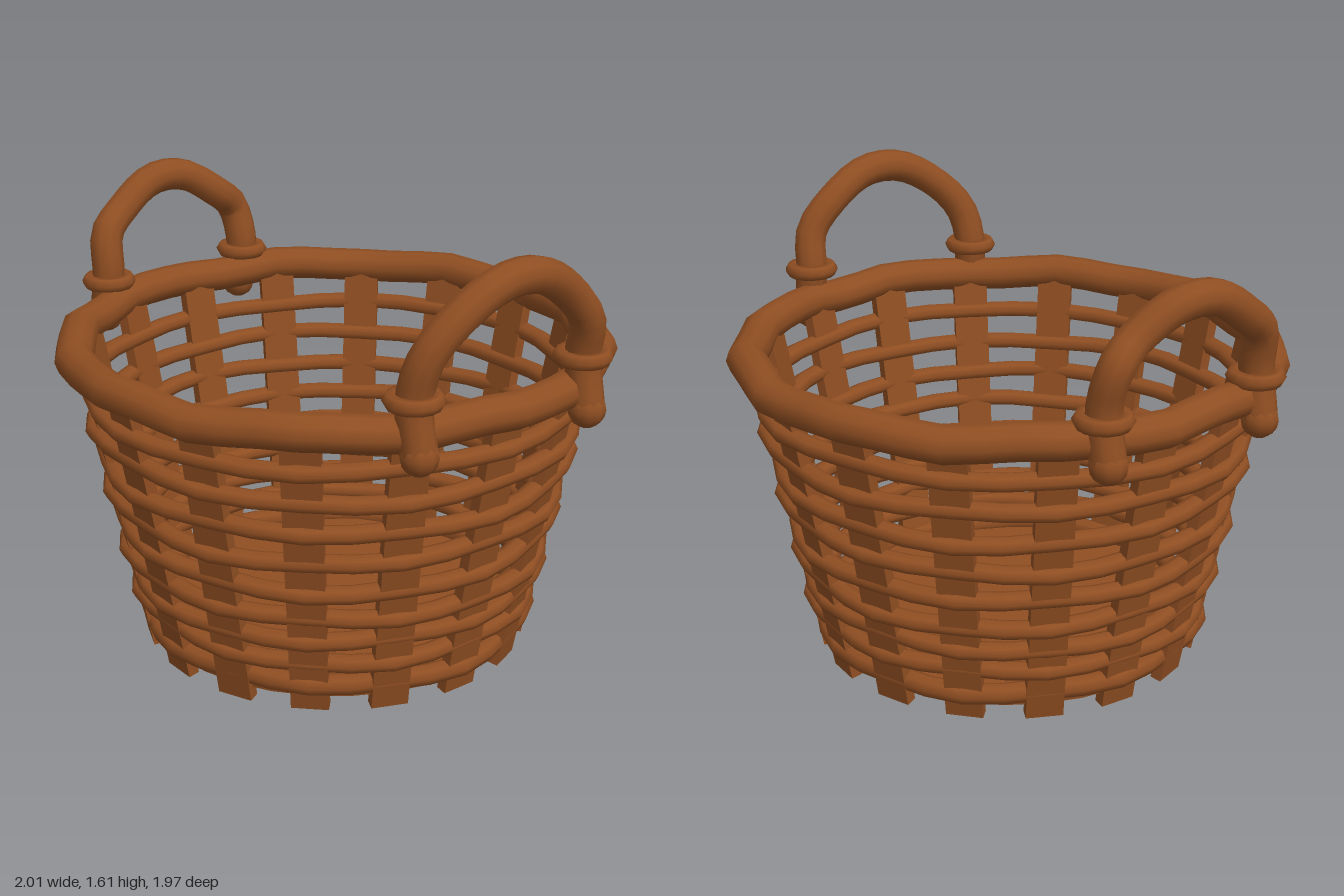
import * as THREE from 'three';

const wicker = new THREE.MeshStandardMaterial({ color: 0x8f4e22 });
wicker.name = 'brownWicker';

const STAKES = 16;

// Closed ring swept from a cross-section, with a radius and height offset at each angle
function sweptRing(name, radiusAt, heightAt, section, segments) {
  const positions = [], index = [], n = section.length;
  for (let i = 0; i < segments; i++) {
    const a = (i / segments) * Math.PI * 2;
    for (const [dr, dy] of section) {
      const r = radiusAt(a) + dr;
      positions.push(r * Math.sin(a), heightAt(a) + dy, r * Math.cos(a));
    }
  }
  for (let i = 0; i < segments; i++) {
    const k = (i + 1) % segments;
    for (let j = 0; j < n; j++) {
      const l = (j + 1) % n;
      index.push(i * n + j, k * n + j, i * n + l, k * n + j, k * n + l, i * n + l);
    }
  }
  const geometry = new THREE.BufferGeometry();
  geometry.setAttribute('position', new THREE.Float32BufferAttribute(positions, 3));
  geometry.setIndex(index);
  geometry.computeVertexNormals();
  const mesh = new THREE.Mesh(geometry, wicker);
  mesh.name = name;
  return mesh;
}

// Oval cross-section, counterclockwise in radius and height
function oval(rx, ry, count) {
  return Array.from({ length: count }, (_, i) => {
    const a = (i / count) * Math.PI * 2;
    return [rx * Math.cos(a), ry * Math.sin(a)];
  });
}

// Arched handle: two legs outside the rim, each bound by a collar
function handle(name, side, front, back, top, collarY) {
  const group = new THREE.Group();
  group.name = name;
  const [fx, fz] = front, [bx, bz] = back;
  const mid = (fz + bz) / 2, half = (fz - bz) / 2;
  const points = [
    [fx + 0.03, 1.03, fz], [fx, 1.2, fz], [fx + 0.03, 1.34, mid + half * 0.94],
    [0.92, top - 0.09, mid + half * 0.68], [0.94, top, mid + half * 0.22],
    [0.94, top, mid - half * 0.22], [0.92, top - 0.09, mid - half * 0.68],
    [bx + 0.03, 1.34, mid - half * 0.94], [bx, 1.2, bz], [bx + 0.03, 1.03, bz],
  ].map(([x, y, z]) => new THREE.Vector3(x * side, y, z));
  const arch = new THREE.Mesh(
    new THREE.TubeGeometry(new THREE.CatmullRomCurve3(points), 28, 0.06, 10), wicker);
  arch.name = 'handleArch';
  group.add(arch);
  for (const end of [points[0], points[points.length - 1]]) {
    const tip = new THREE.Mesh(new THREE.SphereGeometry(0.064, 10, 8), wicker);
    tip.name = 'handleTip';
    tip.position.copy(end);
    group.add(tip);
  }
  for (const [x, z] of [front, back]) {
    const collar = new THREE.Mesh(new THREE.TorusGeometry(0.073, 0.027, 6, 14), wicker);
    collar.name = 'handleCollar';
    collar.rotation.x = Math.PI / 2;
    collar.position.set(x * side, collarY, z);
    group.add(collar);
  }
  return group;
}

export function createModel() {
  const basket = new THREE.Group();
  basket.name = 'basket';

  // Floor
  const floor = new THREE.Mesh(new THREE.CylinderGeometry(0.695, 0.69, 0.03, 32), wicker);
  floor.name = 'floor';
  floor.position.y = 0.065;
  basket.add(floor);

  // Upright stakes leaning outward
  const lean = Math.atan(0.19);
  const stakeGeometry = new THREE.BoxGeometry(0.13, 1.13, 0.04);
  for (let i = 0; i < STAKES; i++) {
    const a = (i / STAKES) * Math.PI * 2;
    const stake = new THREE.Mesh(stakeGeometry, wicker);
    stake.name = 'stake';
    const r = 0.675 + 0.19 * 0.56;
    stake.position.set(r * Math.sin(a), 0.56, r * Math.cos(a));
    stake.rotation.set(lean, a, 0, 'YXZ');
    basket.add(stake);
  }

  // Horizontal woven bands, their waves alternating from row to row
  const bandHeights = [0.095, 0.19, 0.28, 0.37, 0.48, 0.595, 0.71, 0.83, 0.95];
  bandHeights.forEach((y, row) => {
    const sign = row % 2 ? -1 : 1;
    const half = row === 0 ? 0.037 : 0.031;
    basket.add(sweptRing('wovenBand',
      a => 0.69 + 0.21 * (y - 0.1) + 0.012 * sign * Math.cos(a * STAKES / 2),
      a => y + 0.005 * Math.sin(a * 3 + row * 2),
      oval(0.038, half, 8), 32));
  });

  // Thick, uneven rim
  basket.add(sweptRing('rim',
    a => 0.908 + 0.009 * Math.cos(a * STAKES),
    a => 1.095 + 0.008 * Math.sin(a * 9 + 1),
    oval(0.068, 0.062, 10), 48));

  // Slightly mismatched side handles
  basket.add(handle('leftHandle', 1, [0.86, 0.37], [0.89, -0.32], 1.54, 1.205));
  basket.add(handle('rightHandle', -1, [0.86, 0.4], [0.91, -0.24], 1.5, 1.17));

  return basket;
}
